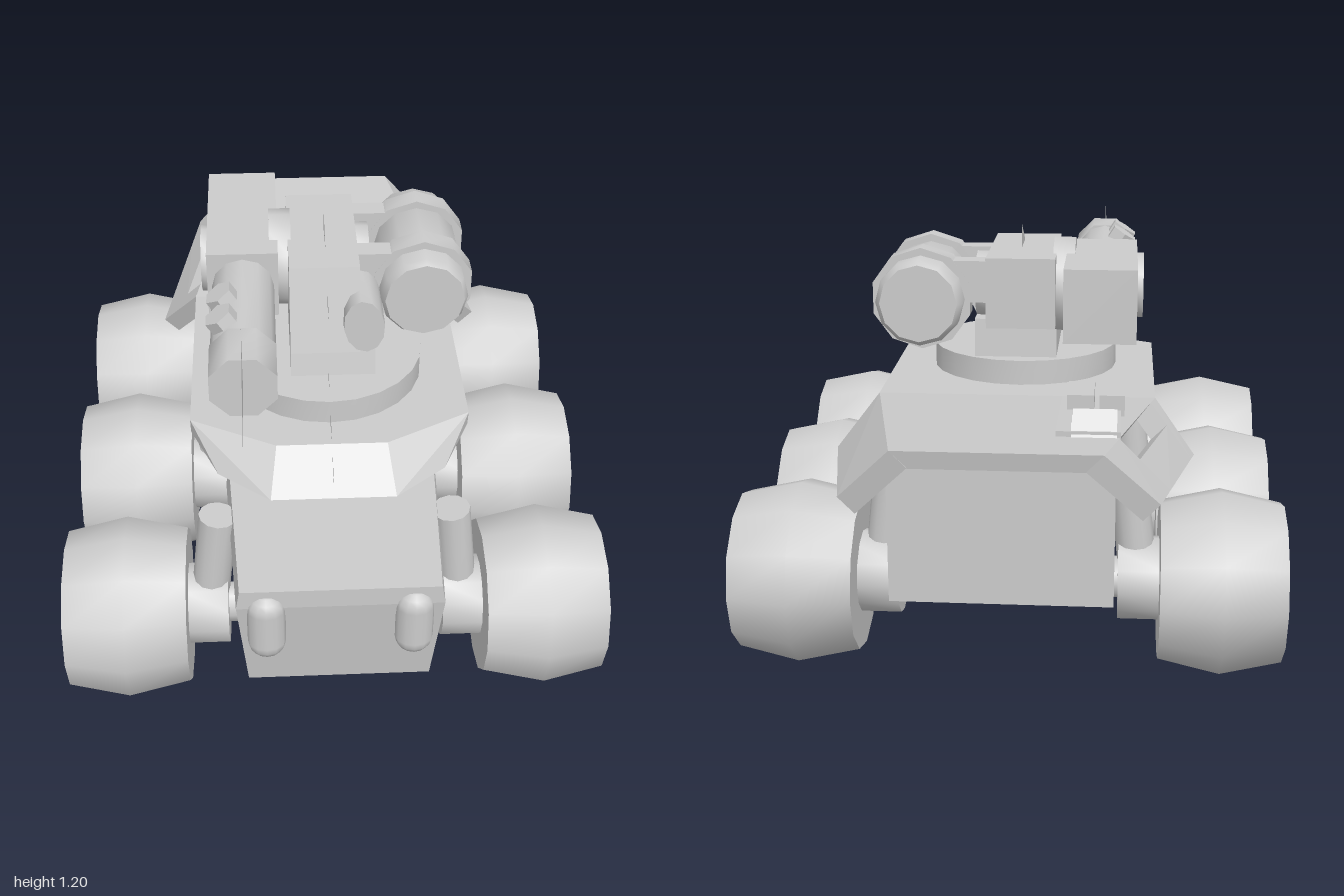
import * as THREE from 'three';
import { toCreasedNormals } from 'three/addons/utils/BufferGeometryUtils.js';
import { ConvexGeometry } from 'three/addons/geometries/ConvexGeometry.js';

const V = (x, y, z) => new THREE.Vector3(x, y, z);

export function createModel() {
  const model = new THREE.Group();
  const material = new THREE.MeshStandardMaterial({ color: 0xcccccc });
  const thin = new THREE.MeshStandardMaterial({ color: 0xcccccc, side: THREE.DoubleSide });

  const add = (name, geometry, x = 0, y = 0, z = 0, mat = material) => {
    const mesh = new THREE.Mesh(geometry, mat);
    mesh.name = name;
    mesh.position.set(x, y, z);
    model.add(mesh);
    return mesh;
  };
  const box = (name, x0, x1, y0, y1, z0, z1) =>
    add(name, new THREE.BoxGeometry(x1 - x0, y1 - y0, z1 - z0), (x0 + x1) / 2, (y0 + y1) / 2, (z0 + z1) / 2);
  // faceted solid wrapped around corner points
  const solid = (name, points) => add(name, new ConvexGeometry(points));
  // the same, from points given for one side only
  const mirrored = (name, points) =>
    solid(name, points.flatMap(([x, y, z]) => [V(x, y, z), V(-x, y, z)]));
  // round bar between two points
  const bar = (name, a, b, radius, sides = 12) => {
    const geometry = toCreasedNormals(new THREE.CylinderGeometry(radius, radius, a.distanceTo(b), sides), 0.85);
    const mesh = add(name, geometry);
    mesh.position.copy(a).lerp(b, 0.5);
    mesh.quaternion.setFromUnitVectors(V(0, 1, 0), b.clone().sub(a).normalize());
    return mesh;
  };
  // turned part lying along x or z, profile as [radius, position along axis]
  const turned = (name, profile, axis, x, y, z, sides = 12) => {
    const geometry = new THREE.LatheGeometry(profile.map(([r, t]) => new THREE.Vector2(r, t)), sides);
    if (axis === 'x') geometry.rotateZ(-Math.PI / 2);
    else geometry.rotateX(Math.PI / 2);
    return add(name, toCreasedNormals(geometry, 0.85), x, y, z);
  };

  // wheels, hubs, struts and axles
  const tyre = [[0, -0.174], [0.228, -0.174], [0.266, 0], [0.228, 0.174], [0, 0.174]];
  for (const z of [0.645, 0.045, -0.555]) {
    for (const s of [-1, 1]) {
      turned('wheel', tyre, 'x', s * 0.6, 0.266, z);
      bar('wheelHub', V(s * 0.31, 0.268, z), V(s * 0.44, 0.268, z), 0.12);
      bar('suspensionStrut', V(s * 0.365, 0.3, z), V(s * 0.33, 0.61, z), 0.055);
    }
    bar('axle', V(-0.32, 0.268, z), V(0.32, 0.268, z), 0.06);
  }

  // lower hull: side outline pulled across the width
  const outline = new THREE.Shape([[0.34, 0.69], [0.5, 0.53], [0.37, 0.23], [-0.6, 0.23], [-0.88, 0.32], [-0.88, 0.735], [-0.3, 0.69]]
    .map(([z, y]) => new THREE.Vector2(-z, y)));
  const body = new THREE.ExtrudeGeometry(outline, { depth: 0.6, bevelEnabled: false });
  body.translate(0, 0, -0.3).rotateY(Math.PI / 2);
  add('lowerHull', body);
  mirrored('bellyPlate', [[0.2, 0.2, 0.42], [0.2, 0.2, -0.6], [0.25, 0.24, 0.42], [0.25, 0.24, -0.6]]);
  mirrored('nose', [
    [0.255, 0.235, 0.915], [0.27, 0.62, 0.965], [0.28, 0.56, 0.965],
    [0.26, 0.235, 0.4], [0.31, 0.56, 0.45], [0.3, 0.62, 0.45],
  ]);

  // headlamps
  const lamp = new THREE.CapsuleGeometry(0.052, 0.115, 4, 12).scale(1, 1, 0.8);
  for (const x of [-0.2, 0.2]) add('headlamp', lamp, x, 0.49, 0.957);

  // upper deck and rear roof
  mirrored('deck', [
    [0.16, 0.73, 0.49], [0.41, 0.73, 0.36], [0.41, 0.73, -0.31],
    [0.18, 0.62, 0.6], [0.33, 0.63, 0.49], [0.41, 0.68, 0.35], [0.41, 0.68, -0.31], [0.28, 0.62, 0.36],
  ]);
  mirrored('rearRoof', [
    [0.41, 0.73, -0.3], [0.27, 0.785, -1], [0.37, 0.68, -0.3], [0.24, 0.735, -0.99],
  ]);

  // sloping side flaps: u runs from fold to outer edge, t from front to rear
  const flapPoint = (s, u, t) => {
    const fold = V(0.41, 0.73, -0.3).lerp(V(0.27, 0.785, -1), t);
    return fold.lerp(V(0.525, 0.585, -0.385).lerp(V(0.415, 0.64, -0.95), t), u).multiply(V(s, 1, 1));
  };
  const flap = (s, u0, t0, t1) => {
    const corners = [[u0, t0], [1, t0], [1, t1], [u0, t1]].map(([u, t]) => flapPoint(s, u, t));
    solid('sideFlap', [...corners, ...corners.map(p => p.clone().add(V(-s * 0.045, -0.045, 0)))]);
  };
  flap(1, 0, 0, 1);
  // this flap has a long slot beside the fold
  flap(-1, 0, 0.74, 1);
  flap(-1, 0.4, 0.1, 0.74);
  flap(-1, 0, 0, 0.1);

  // vent and hatch on the rear roof
  solid('ventPlate', [-0.31, -0.14].flatMap(x => [
    V(x, 0.73, -0.4), V(x, 0.758, -0.4), V(x, 0.75, -0.81), V(x, 0.785, -0.81)]));
  for (const z of [-0.67, -0.73, -0.79])
    solid('ventSlat', [-0.3, -0.18].flatMap(x => [V(x, 0.77, z - 0.025), V(x, 0.77, z + 0.025), V(x, 0.805, z)]));
  for (const [x0, x1] of [[-0.32, -0.25], [-0.235, -0.16]])
    box('hatchBox', x0, x1, 0.74, 0.81, -0.56, -0.42);

  // turret ring and central block
  add('turretRing', toCreasedNormals(new THREE.CylinderGeometry(0.29, 0.29, 0.08, 24), 0.85), 0, 0.765, 0.1);
  solid('turretPedestal', [-0.11, 0.14].flatMap(x => [
    V(x, 0.8, 0.26), V(x, 0.8, -0.14), V(x, 0.92, 0.23), V(x, 0.92, -0.13)]));
  solid('turretBlock', [-0.11, 0.095].flatMap(x => [
    V(x, 0.88, 0.25), V(x, 1.13, 0.18), V(x, 1.13, -0.25), V(x, 0.92, -0.25)]));
  const sensor = turned('sensor', [[0, -0.14], [0.088, -0.14], [0.088, 0.12], [0, 0.12]], 'z', 0.105, 0.975, 0.14);
  sensor.scale.x = 0.68;
  sensor.rotation.z = 0.12;
  bar('podPivot', V(0.08, 1.02, -0.07), V(0.135, 1.02, -0.07), 0.1);

  // gun on one side
  const gx = -0.245, gy = 1.02;
  box('gunHousing', -0.35, -0.14, 0.915, 1.13, -0.4, 0.095);
  bar('gunPivot', V(-0.37, gy, -0.07), V(-0.34, gy, -0.07), 0.1);
  bar('gunPivotDisc', V(-0.165, gy, -0.07), V(-0.1, gy, -0.07), 0.145);
  bar('gunBarrel', V(gx, gy, 0.08), V(gx, gy, 0.46), 0.092);
  bar('gunMuzzle', V(gx, gy, 0.45), V(gx, gy, 0.6), 0.1, 8).rotateY(Math.PI / 8);
  for (const z of [0.28, 0.39])
    bar('barrelBolt', V(gx - 0.03, gy + 0.04, z), V(gx - 0.068, gy + 0.1, z), 0.045, 6);

  // pod on the other side, with two straps
  const px = 0.29, py = 1;
  turned('pod', [[0, -0.295], [0.115, -0.295], [0.13, -0.275], [0.13, 0.145], [0.118, 0.165], [0, 0.165]],
    'z', px, py, 0);
  for (const z of [-0.185, 0.055]) {
    bar('podStrap', V(px, py, z - 0.034), V(px, py, z + 0.034), 0.153, 10);
    box('podBracket', 0.09, 0.25, 0.99, 1.115, z - 0.033, z + 0.033);
  }

  // thin vertical fins
  const fin = new THREE.BufferGeometry().setFromPoints([V(0, 0, 0.35), V(0, 0, 0), V(0, 0.18, 0)]);
  fin.computeVertexNormals();
  add('muzzleFin', fin, gx, 1.02, 0.58, thin);
  add('turretFin', fin, 0, 1.02, -0.06, thin);
  add('deckFin', fin, 0, 0.665, 0.26, thin);

  return model;
}
